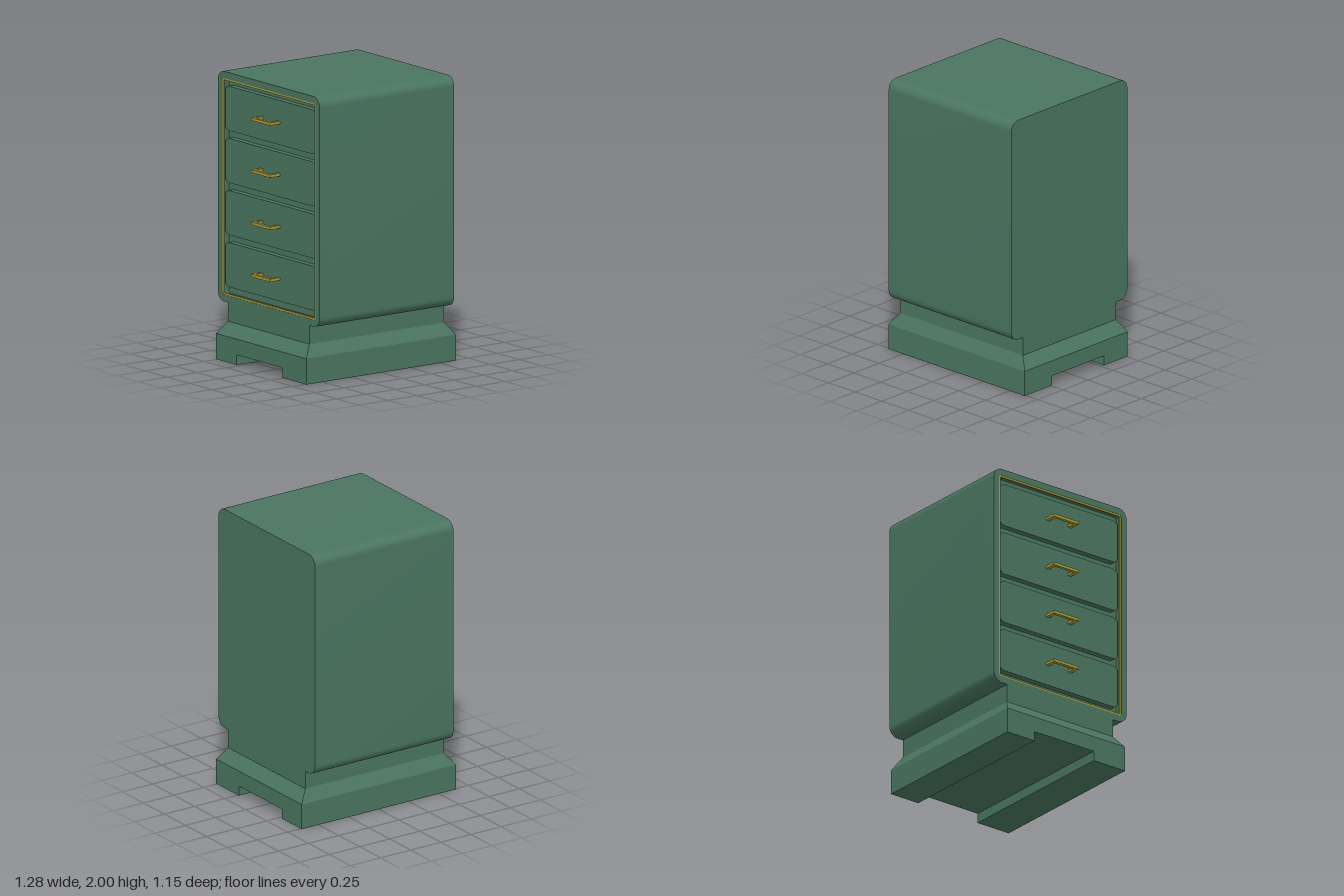
import * as THREE from 'three';
import { toCreasedNormals } from 'three/addons/utils/BufferGeometryUtils.js';

const GREEN = new THREE.MeshStandardMaterial({ color: 0x4a7560 });
const GOLD = new THREE.MeshStandardMaterial({ color: 0xa89a35 });

// Rounded rectangle centred on (0, cy), as points
function roundedRect(Type, halfW, halfH, r, cy) {
  const s = new Type();
  s.absarc(halfW - r, cy + halfH - r, r, 0, Math.PI / 2);
  s.absarc(-halfW + r, cy + halfH - r, r, Math.PI / 2, Math.PI);
  s.absarc(-halfW + r, cy - halfH + r, r, Math.PI, Math.PI * 1.5);
  s.absarc(halfW - r, cy - halfH + r, r, Math.PI * 1.5, Math.PI * 2);
  s.closePath();
  return s;
}

// Extrudes a (z, y) shape along x, from xFront (low x) to xBack
function slab(name, shape, xFront, xBack, material) {
  let g = new THREE.ExtrudeGeometry(shape, { depth: xBack - xFront, bevelEnabled: false, curveSegments: 8 });
  g.rotateY(-Math.PI / 2);
  g.translate(xBack, 0, 0);
  g = toCreasedNormals(g, 0.6);
  const mesh = new THREE.Mesh(g, material);
  mesh.name = name;
  return mesh;
}

function box(name, sx, sy, sz, x, y, z, material) {
  const mesh = new THREE.Mesh(new THREE.BoxGeometry(sx, sy, sz), material);
  mesh.position.set(x, y, z);
  mesh.name = name;
  return mesh;
}

// Plinth that narrows in steps: each ring of the box gets its own size
function plinth() {
  const rings = [[0.07, 0.64, 0.51], [0.18, 0.64, 0.51], [0.265, 0.575, 0.46], [0.396, 0.575, 0.46]];
  const g = new THREE.BoxGeometry(2, 3, 2, 1, 3, 1);
  const p = g.attributes.position;
  for (let i = 0; i < p.count; i++) {
    const [y, hx, hz] = rings[Math.round(p.getY(i) + 1.5)];
    p.setXYZ(i, p.getX(i) * hx, y, p.getZ(i) * hz);
  }
  const flat = g.toNonIndexed();
  flat.computeVertexNormals();
  const mesh = new THREE.Mesh(flat, GREEN);
  mesh.name = 'plinth';
  return mesh;
}

// Square-bar pull handle on the drawer side
function handle(y) {
  const h = new THREE.Group();
  h.name = 'handle';
  h.add(box('handleBar', 0.024, 0.02, 0.216, -0.633, y, -0.002, GOLD));
  for (const z of [-0.097, 0.092]) h.add(box('handlePost', 0.068, 0.02, 0.027, -0.587, y, z, GOLD));
  return h;
}

export function createModel() {
  const model = new THREE.Group();
  model.name = 'drawerCabinet';
  const cy = 1.1975, halfH = 0.8025, half = 0.575;

  // Cabinet: solid core behind, open rim around the drawers
  const openW = 0.53, openH = 0.755, recess = -0.515;
  model.add(slab('cabinetBody', roundedRect(THREE.Shape, half, halfH, 0.07, cy), recess, half, GREEN));
  const rim = roundedRect(THREE.Shape, half, halfH, 0.07, cy);
  rim.holes.push(roundedRect(THREE.Path, openW, openH, 0.02, cy));
  model.add(slab('cabinetRim', rim, -half, recess, GREEN));

  // Thin trim lining the opening
  const trim = roundedRect(THREE.Shape, openW, openH, 0.02, cy);
  trim.holes.push(roundedRect(THREE.Path, openW - 0.013, openH - 0.013, 0.01, cy));
  model.add(slab('trim', trim, -0.573, -0.56, GOLD));

  // Four drawers, each with a handle
  for (let i = 0; i < 4; i++) {
    const y = 0.655 + i * 0.3635;
    const drawer = new THREE.Group();
    drawer.name = 'drawer' + (i + 1);
    drawer.add(slab('drawerFront', roundedRect(THREE.Shape, 0.51, 0.155, 0.04, y), -0.56, recess, GREEN));
    drawer.add(handle(y));
    model.add(drawer);
  }

  // Base: stepped plinth on two feet with a channel between
  model.add(plinth());
  for (const [z0, z1] of [[-0.51, -0.275], [0.24, 0.51]])
    model.add(box('foot', 1.28, 0.07, z1 - z0, 0, 0.035, (z0 + z1) / 2, GREEN));
  return model;
}
